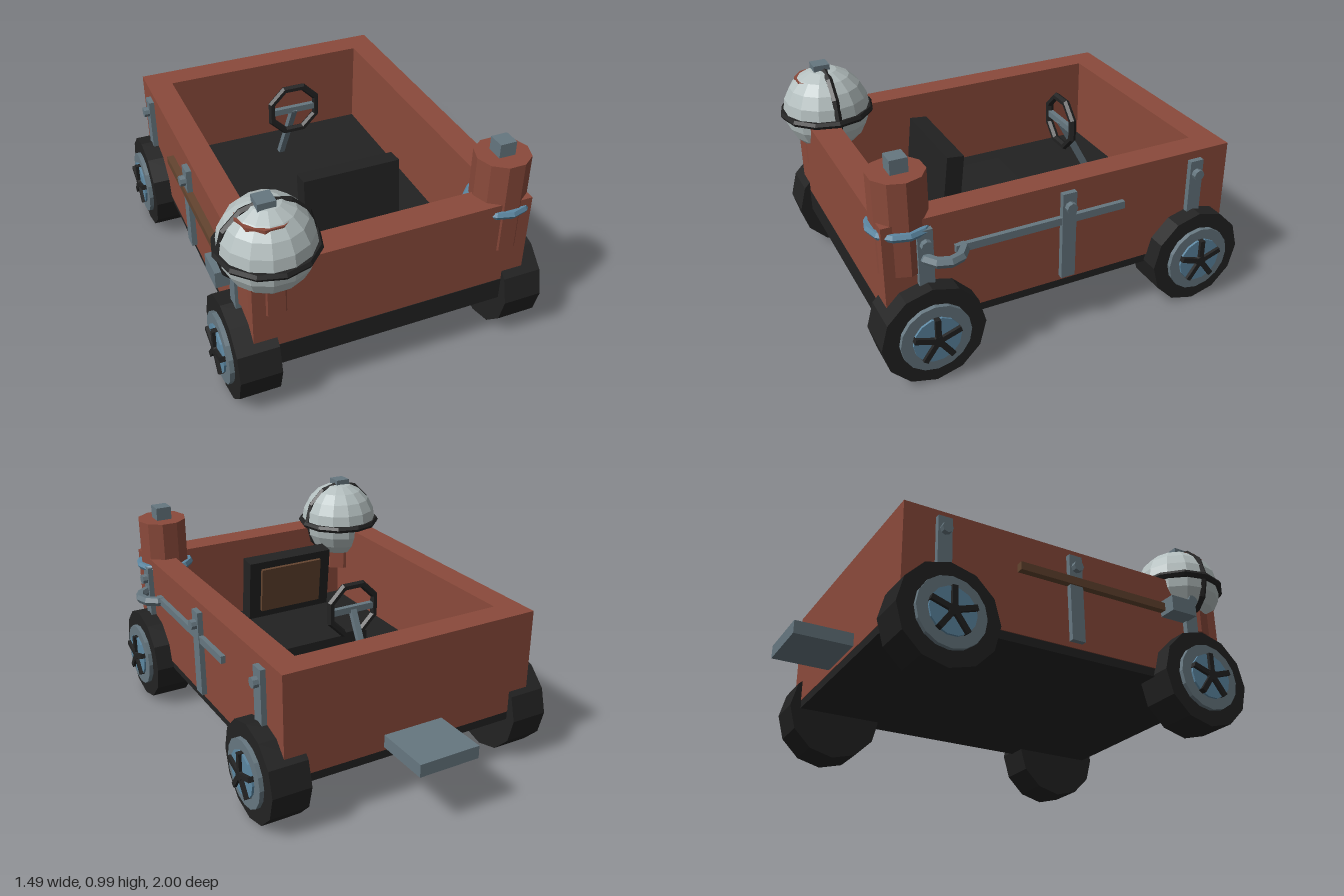
import * as THREE from 'three';

const paint = (name, color, flat = true) =>
  Object.assign(new THREE.MeshStandardMaterial({ color, flatShading: flat }), { name });

export function createModel() {
  const red = paint('red body', 0x8b4a3b);
  const black = paint('black rubber', 0x222222);
  const steel = paint('grey steel', 0x667780);
  const blue = paint('blue metal', 0x5c87a2);
  const pale = paint('pale globe', 0xb4bfbf);
  const brown = paint('brown wood', 0x63442f);
  const model = new THREE.Group();
  model.name = 'cart';

  const add = (name, geometry, material, x, y, z, parent = model) => {
    const mesh = new THREE.Mesh(geometry, material);
    mesh.name = name;
    mesh.position.set(x, y, z);
    parent.add(mesh);
    return mesh;
  };
  // Box from its lower and upper limits on each axis
  const box = (name, mat, x0, x1, y0, y1, z0, z1, parent) =>
    add(name, new THREE.BoxGeometry(x1 - x0, y1 - y0, z1 - z0), mat,
      (x0 + x1) / 2, (y0 + y1) / 2, (z0 + z1) / 2, parent);
  // Cylinder lying along x
  const disc = (name, mat, r, x0, x1, y, z, sides, parent) => {
    const g = new THREE.CylinderGeometry(r, r, x1 - x0, sides).rotateZ(-Math.PI / 2);
    return add(name, g, mat, (x0 + x1) / 2, y, z, parent);
  };

  // Open tub
  box('base', black, -0.615, 0.615, 0.22, 0.327, -0.733, 0.902);
  box('frontWall', red, -0.62, 0.62, 0.26, 0.738, 0.77, 0.9);
  box('backWall', red, -0.62, 0.62, 0.26, 0.738, -0.735, -0.61);
  for (const s of [-1, 1])
    box('sideWall', red, s * 0.56 - 0.06, s * 0.56 + 0.06, 0.26, 0.738, -0.61, 0.77);
  box('hitch', steel, -0.147, 0.147, 0.275, 0.335, -1, -0.73);

  // Wheels with rim, hubcap and five spokes
  for (const s of [-1, 1]) for (const z of [0.73, -0.557]) {
    const wheel = new THREE.Group();
    wheel.name = 'wheel';
    wheel.position.set(s * 0.61, 0.228, z);
    wheel.rotation.y = s < 0 ? Math.PI : 0;
    model.add(wheel);
    disc('tire', black, 0.228, -0.09, 0.09, 0, 0, 12, wheel);
    disc('rim', steel, 0.155, 0.05, 0.11, 0, 0, 16, wheel);
    disc('hubcap', blue, 0.105, 0.1, 0.12, 0, 0, 14, wheel);
    disc('hub', black, 0.026, 0.11, 0.135, 0, 0, 10, wheel);
    for (let i = 0; i < 5; i++) {
      const g = new THREE.BoxGeometry(0.025, 0.105, 0.024).translate(0, 0.053, 0);
      add('spoke', g, black, 0.122, 0, 0, wheel).rotation.x = i * Math.PI * 0.4;
    }
  }

  // Side straps with bolts
  for (const s of [-1, 1]) for (const [z, y0] of [[0.73, 0.3], [0.085, 0.285], [-0.557, 0.3]]) {
    box('strap', steel, s * 0.63 - 0.015, s * 0.63 + 0.015, y0, 0.7, z - 0.033, z + 0.033);
    disc('bolt', steel, 0.025, s * 0.655 - 0.015, s * 0.655 + 0.015, 0.637, z, 8);
  }

  // Long bars on the sides, one with a loop and one with a block
  box('sideBar', steel, 0.61, 0.642, 0.553, 0.588, -0.19, 0.6);
  add('sideLoop', new THREE.TorusGeometry(0.085, 0.024, 6, 10).rotateX(Math.PI / 2),
    steel, 0.623, 0.57, 0.65);
  box('woodenBar', brown, -0.652, -0.61, 0.55, 0.588, -0.2, 0.58);
  box('barBlock', steel, -0.705, -0.61, 0.53, 0.606, 0.57, 0.705);

  // Corner posts with square caps
  for (const s of [-1, 1]) {
    const post = new THREE.CylinderGeometry(0.12, 0.12, 0.422, 10).rotateY(Math.PI / 10);
    add('cornerPost', post, red, s * 0.52, 0.711, 0.791);
    box('postCap', steel, s * 0.52 - 0.038, s * 0.52 + 0.038, 0.91, 0.985, 0.75, 0.826);
  }
  add('postRing', new THREE.TorusGeometry(0.125, 0.019, 6, 12).rotateX(Math.PI / 2),
    blue, 0.52, 0.69, 0.79);

  // Globe over one post, with two hoops
  add('globe', new THREE.SphereGeometry(0.203, 14, 10), pale, -0.508, 0.762, 0.777);
  add('levelHoop', new THREE.TorusGeometry(0.204, 0.018, 6, 12).rotateX(Math.PI / 2),
    black, -0.508, 0.757, 0.777);
  add('uprightHoop', new THREE.TorusGeometry(0.196, 0.018, 6, 12), black, -0.508, 0.762, 0.777);

  // Seat
  box('seatCushion', black, -0.225, 0.225, 0.32, 0.44, 0.01, 0.47);
  const back = new THREE.Group();
  back.name = 'seatBack';
  back.position.set(0, 0.595, 0.437);
  back.rotation.x = -0.11;
  model.add(back);
  box('backrest', black, -0.225, 0.225, -0.16, 0.157, -0.04, 0.04, back);
  box('backrestPanel', brown, -0.165, 0.165, -0.11, 0.12, -0.057, -0.035, back);

  // Steering wheel on a sloping column
  add('steeringWheel', new THREE.TorusGeometry(0.122, 0.018, 6, 8).rotateZ(Math.PI / 8),
    black, 0, 0.69, -0.223);
  box('steeringBar', steel, -0.12, 0.12, 0.675, 0.705, -0.235, -0.211);
  const from = new THREE.Vector3(0, 0.69, -0.22), to = new THREE.Vector3(0, 0.32, -0.42);
  const column = add('steeringColumn', new THREE.BoxGeometry(0.028, 0.028, from.distanceTo(to)),
    steel, 0, 0.505, -0.32);
  column.lookAt(from);

  return model;
}
